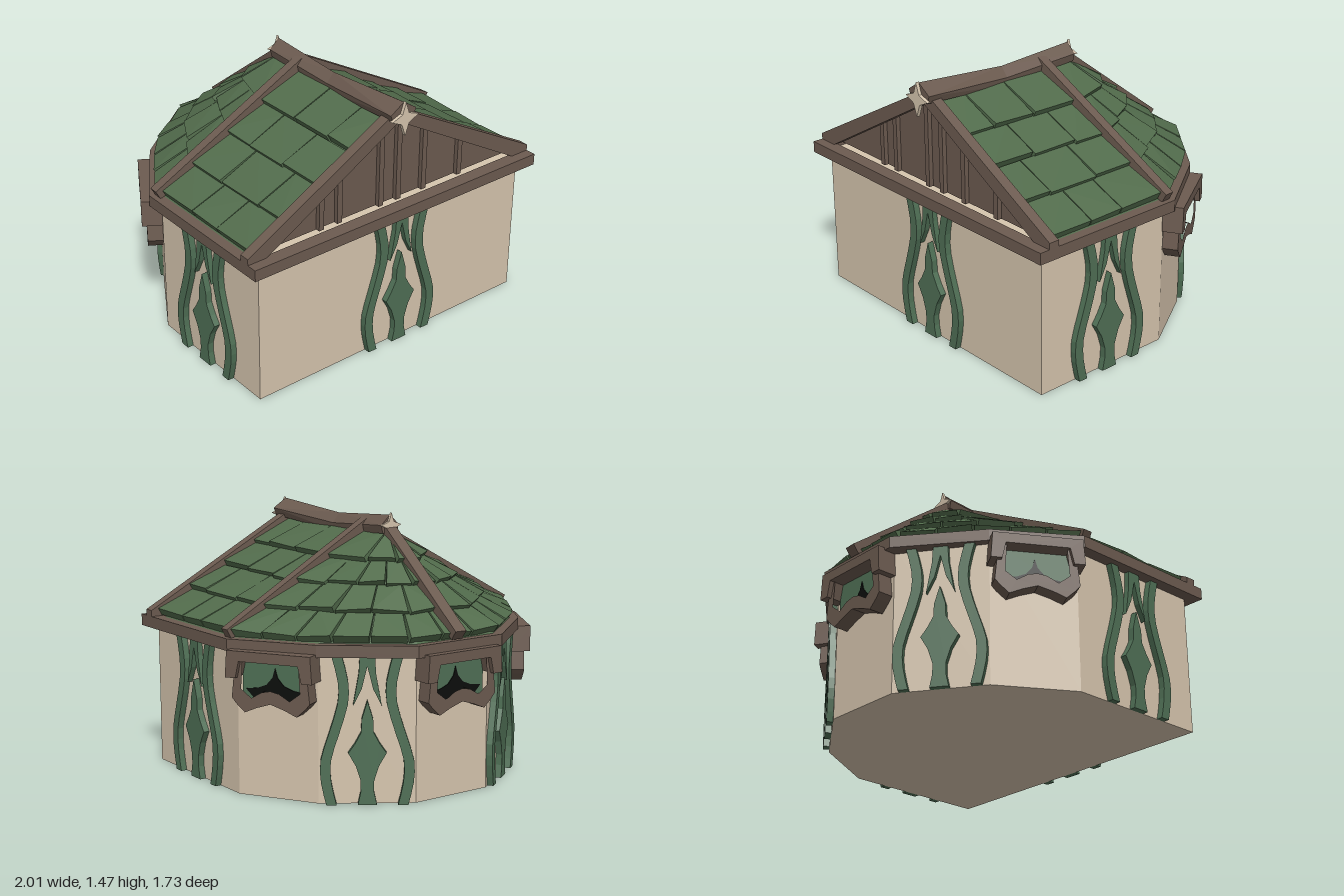
import * as THREE from 'three';
import { ConvexGeometry } from 'three/addons/geometries/ConvexGeometry.js';

const mat = (name, color, side = THREE.FrontSide) => {
  const m = new THREE.MeshStandardMaterial({ color, side, flatShading: true });
  m.name = name;
  return m;
};
const V = (x, y, z) => new THREE.Vector3(x, y, z);

export function createModel() {
  const plaster = mat('plaster', 0xd6c5ae);
  const timber = mat('timber', 0x6c5b50);
  const tile = mat('roofTile', 0x526c4c);
  const leaf = mat('carvedGreen', 0x4f6f55);
  const dark = mat('windowDark', 0x0c0e0c);

  const root = new THREE.Group();
  root.name = 'hut';
  const add = (name, geo, material, parent = root) => {
    const m = new THREE.Mesh(geo, material);
    m.name = name;
    parent.add(m);
    return m;
  };
  const shapeOf = pts => new THREE.Shape(pts.map(p => new THREE.Vector2(p[0], p[1])));
  const extrude = (shape, depth, z = 0) =>
    new THREE.ExtrudeGeometry(shape, { depth, bevelEnabled: false }).translate(0, 0, z);
  // closes a half outline given from top to bottom on the +x side
  const mirror = half => [...half, ...half.filter(p => p[0] !== 0).reverse().map(p => [-p[0], p[1]])];
  const hull = pts => new ConvexGeometry(pts);
  // plan outline (x, z) laid flat and raised to y
  const slab = (pts, y, h, holePts) => {
    const s = shapeOf(pts.map(p => [p[0], -p[1]]));
    if (holePts) s.holes.push(new THREE.Path(holePts.map(p => new THREE.Vector2(p[0], -p[1]))));
    return extrude(s, h).rotateX(-Math.PI / 2).translate(0, y, 0);
  };
  // rectangular beam between two points
  const beam = (name, a, b, w, h) => {
    const m = add(name, new THREE.BoxGeometry(w, h, a.distanceTo(b)), timber);
    m.position.copy(a).lerp(b, 0.5);
    m.lookAt(b);
    return m;
  };
  let seed = 7;
  const rnd = () => (seed = (seed * 16807) % 2147483647) / 2147483647;

  // ---- walls and eave frame ----
  const plan = mirror([[0.9, 0.8], [0.9, -0.06], [0.66, -0.46], [0.24, -0.75]]);
  add('walls', slab(plan, 0, 0.82), plaster);
  const eave = mirror([[0.97, 0.87], [0.97, -0.07], [0.69, -0.49], [0.28, -0.82]]);
  const eaveInner = mirror([[0.89, 0.79], [0.89, -0.05], [0.64, -0.44], [0.24, -0.74]]);
  add('eaveFrame', slab(eave, 0.79, 0.065, eaveInner), timber);

  // ---- carved ornament and window, placed on a wall face ----
  const onWall = (name, x, z, nx, nz) => {
    const g = new THREE.Group();
    g.name = name;
    g.position.set(x, 0, z);
    g.rotation.y = Math.atan2(nx, nz);
    root.add(g);
    return g;
  };

  const bandLine = new THREE.SplineCurve([[0.157, 0.79], [0.126, 0.66], [0.128, 0.54], [0.175, 0.38],
    [0.217, 0.24], [0.215, 0.12], [0.188, 0]].map(p => new THREE.Vector2(...p))).getPoints(12);
  const bandPts = s => [
    ...bandLine.map(p => [s * (p.x - 0.027), p.y]),
    ...bandLine.slice().reverse().map(p => [s * (p.x + 0.027), p.y])];
  const fork = mirror([[0, 0.79], [0.04, 0.79], [0.045, 0.7], [0.075, 0.53], [0.03, 0.62], [0, 0.74]]
    .slice(1));
  const diamond = mirror([[0, 0.56], [0.03, 0.46], [0.033, 0.39], [0.065, 0.33], [0.1, 0.28],
    [0.06, 0.21], [0.035, 0.13], [0.035, 0.07], [0.05, 0]]);
  const ornament = (...at) => {
    const g = onWall('carvedOrnament', ...at);
    for (const s of [-1, 1]) {
      add('curvedBand', extrude(shapeOf(bandPts(s)), 0.035), leaf, g);
    }
    add('forkedCarving', extrude(shapeOf(fork), 0.03), leaf, g);
    add('diamondCarving', extrude(shapeOf(diamond), 0.035), leaf, g);
  };

  const frameOuter = mirror([[0.2, 0.78], [0.225, 0.55], [0.2, 0.52], [0.15, 0.475], [0.08, 0.505], [0, 0.53]]);
  const frameInner = mirror([[0.16, 0.75], [0.17, 0.6], [0.11, 0.555], [0.05, 0.59], [0, 0.6]]);
  const lintel = mirror([[0.24, 0.805], [0.25, 0.66], [0.19, 0.66], [0.17, 0.75]]);
  const glow = mirror([[0, 0.71], [0.015, 0.66], [0.05, 0.62], [0.1, 0.6], [0.17, 0.59], [0.12, 0.54]]);
  const windowOn = (...at) => {
    const g = onWall('window', ...at);
    const f = shapeOf(frameOuter);
    f.holes.push(new THREE.Path(frameInner.map(p => new THREE.Vector2(...p))));
    add('windowFrame', extrude(f, 0.085), timber, g);
    add('windowLintel', extrude(shapeOf(lintel), 0.112), timber, g);
    add('windowPane', extrude(shapeOf(mirror([[0.19, 0.77], [0.19, 0.54]])), 0.008, 0.015), leaf, g);
    add('windowGap', extrude(shapeOf(glow), 0.006, 0.022), dark, g);
  };

  ornament(0.028, 0.8, 0, 1);
  windowOn(0, -0.75, 0, -1);
  for (const s of [-1, 1]) {
    ornament(s * 0.9, 0.35, s, 0);
    ornament(s * 0.45, -0.605, s * 0.29, -0.42);
    windowOn(s * 0.78, -0.26, s * 0.4, -0.24);
  }

  // ---- gable ----
  add('gableWall', extrude(shapeOf([[-0.9, 0.84], [0.9, 0.84], [0, 1.36]]), 0.04, 0.69), timber);
  for (const x of [-0.46, -0.34, -0.06, 0.06, 0.24, 0.5]) {
    const top = d => 1.35 - 0.56 * Math.abs(x + d);
    add('gableBatten', extrude(shapeOf([[x - 0.016, 0.84], [x + 0.016, 0.84],
      [x + 0.016, top(0.016)], [x - 0.016, top(-0.016)]]), 0.025, 0.73), timber);
  }
  add('bargeBoards', extrude(shapeOf([[-0.97, 0.85], [-0.86, 0.85], [0, 1.34], [0.86, 0.85], [0.97, 0.85],
    [0.97, 0.89], [0, 1.415], [-0.97, 0.89]]), 0.06, 0.75), timber);

  // ---- roof bodies ----
  add('mainRoof', extrude(shapeOf([[-0.92, 0.85], [0.92, 0.85], [0, 1.355]]), 0.74, -0.04), tile);
  const rim = mirror([[0.93, -0.04], [0.66, -0.46], [0.26, -0.78]]);
  add('apseRoof', hull([V(0, 1.355, 0), V(0, 1.355, -0.18),
    ...rim.flatMap(p => [V(p[0], 0.85, p[1]), V(p[0], 0.8, p[1])])]), tile);

  // wedge tile: thin at its upper edge a-b, thick at its lower edge c-d
  const shingle = (a, b, c, d, name) => {
    const n = b.clone().sub(a).cross(d.clone().sub(a));
    if (n.lengthSq() < 1e-8) n.copy(c).sub(a).cross(d.clone().sub(a));
    n.normalize();
    if (n.y < 0) n.negate();
    const up = (p, h) => p.clone().addScaledVector(n, h);
    const h1 = 0.022 + rnd() * 0.022, h2 = 0.022 + rnd() * 0.022;
    add(name, hull([up(a, -0.01), up(b, -0.01), up(c, -0.01), up(d, -0.01),
      up(a, 0.006), up(b, 0.006), up(c, h1), up(d, h2)]), tile);
  };

  // straight courses on both slopes
  const rowX = [0.03, 0.27, 0.48, 0.7, 0.91];
  const cuts = [[0.75, 0.57, 0.3, 0], [0.75, 0.48, 0.2, -0.01], [0.75, 0.57, 0.25, -0.02], [0.75, 0.48, 0.27, -0.03]];
  for (const s of [-1, 1]) {
    cuts.forEach((row, j) => {
      for (let i = 0; i < row.length - 1; i++) {
        const low = rowX[j + 1] + (j < 3 ? rnd() * 0.03 - 0.01 : 0);
        const P = (x, z) => V(s * x, 1.365 - 0.545 * x, z);
        shingle(P(rowX[j], row[i]), P(rowX[j], row[i + 1] + 0.006),
          P(low, row[i + 1] + 0.006), P(low, row[i]), 'roofShingle');
      }
    });
  }

  // fanned courses round the apse
  const apse = (u, t) => {
    const k = Math.min(4, Math.floor(u)), f = u - k;
    const x = THREE.MathUtils.lerp(rim[k][0], rim[k + 1][0], f);
    const z = THREE.MathUtils.lerp(rim[k][1], rim[k + 1][1], f);
    return V(0, 1.365, -0.18 * Math.min(1, u, 5 - u)).lerp(V(x, 0.868, z), t);
  };
  const rings = [0.02, 0.28, 0.51, 0.75, 1];
  [5, 9, 10, 13].forEach((n, j) => {
    for (let i = 0; i < n; i++) {
      const u0 = 5 * i / n, u1 = 5 * (i + 1) / n - 0.02;
      const low = rings[j + 1] + (j < 3 ? rnd() * 0.03 : 0);
      shingle(apse(u0, rings[j]), apse(u1, rings[j]), apse(u1, low), apse(u0, low), 'apseShingle');
    }
  });

  // ---- rafters and ridge ----
  for (const s of [-1, 1]) {
    beam('sideRafter', V(s * 0.95, 0.875, -0.035), V(0, 1.4, 0.01), 0.055, 0.06);
  }
  beam('backRafter', V(0.025, 0.885, -0.83), V(0, 1.375, -0.18), 0.07, 0.06);
  const section = (z, top, w) => [V(0, top, z), V(w, top - 0.055, z), V(-w, top - 0.055, z),
    V(w * 0.8, top - 0.1, z), V(-w * 0.8, top - 0.1, z)];
  const mid = section(0.28, 1.425, 0.045);
  add('ridgeFront', hull([...section(0.84, 1.465, 0.085), ...mid]), timber);
  add('ridgeBack', hull([...section(-0.2, 1.455, 0.06), ...mid]), timber);

  // ---- four-pointed finials ----
  const star = mirror([[0, 0.09], [0.022, 0.025], [0.09, 0], [0.025, -0.03], [0, -0.1]]);
  add('frontFinial', extrude(shapeOf(star), 0.02), plaster).position.set(0, 1.38, 0.838);
  const back = add('backFinial', extrude(shapeOf(star), 0.02), plaster);
  back.scale.setScalar(0.75);
  back.position.set(0, 1.4, -0.2);
  back.rotation.y = Math.PI;

  return root;
}
